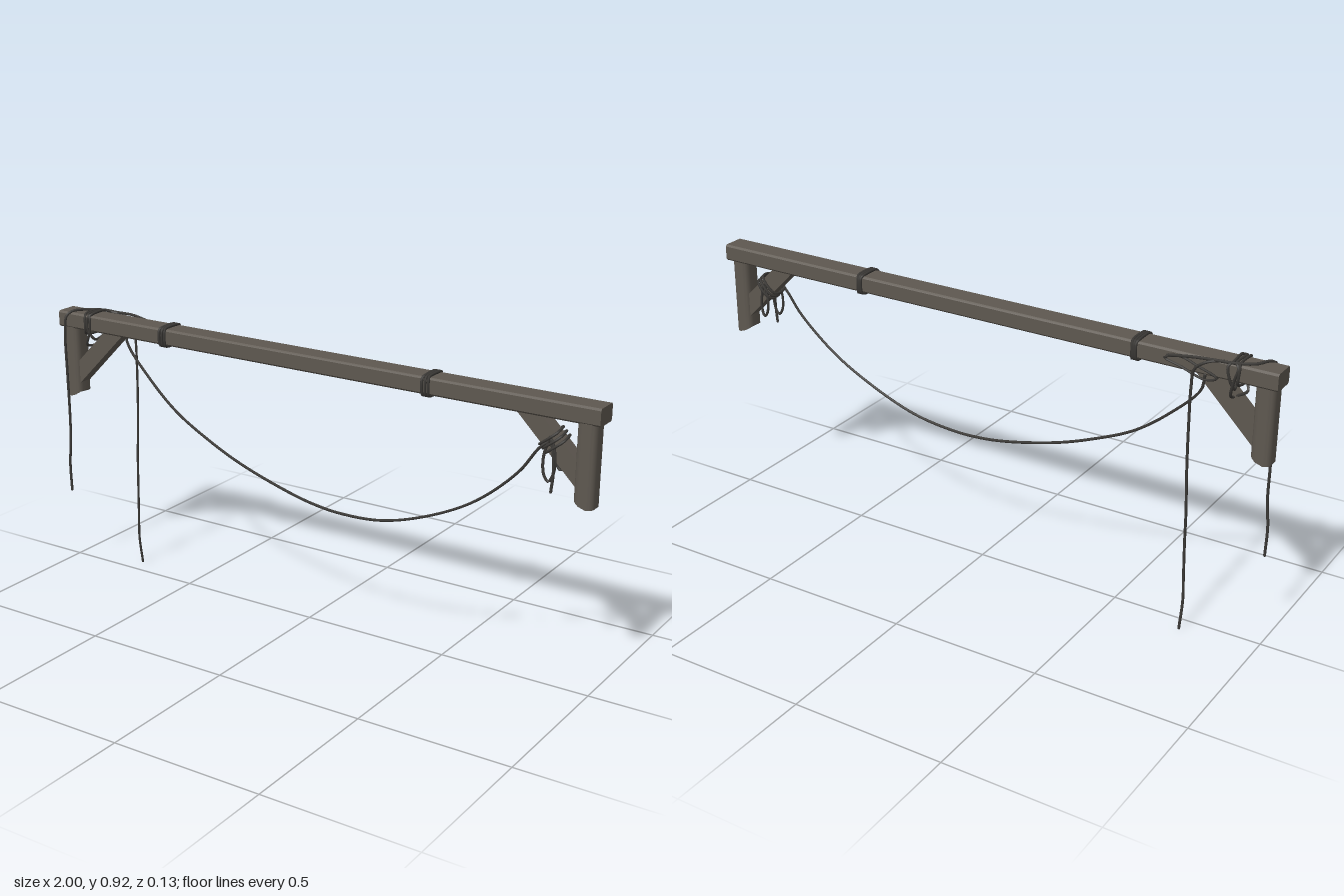
import * as THREE from 'three';
import { toCreasedNormals } from 'three/addons/utils/BufferGeometryUtils.js';

const wood = new THREE.MeshStandardMaterial({ color: 0x5e5850 });
wood.name = 'weathered wood';
const cord = new THREE.MeshStandardMaterial({ color: 0x3b3936 });
cord.name = 'dark rope';

// Rectangle with rounded or chamfered corners, centred on the origin
function roundedRect(w, h, r, steps) {
  const pts = [];
  for (let c = 0; c < 4; c++) {
    const cx = (c === 0 || c === 3 ? 1 : -1) * (w / 2 - r);
    const cy = (c < 2 ? 1 : -1) * (h / 2 - r);
    for (let i = 0; i <= steps; i++) {
      const a = (c + i / steps) * Math.PI / 2;
      pts.push(new THREE.Vector2(cx + r * Math.cos(a), cy + r * Math.sin(a)));
    }
  }
  return new THREE.Shape(pts);
}

export function createModel() {
  const model = new THREE.Group();
  model.name = 'ropedBeam';

  const add = (name, geometry, material) => {
    const mesh = new THREE.Mesh(geometry, material);
    mesh.name = name;
    model.add(mesh);
    return mesh;
  };

  // A rope strand through the given points
  const rope = (name, points, closed = false, r = 0.0045) => {
    const curve = new THREE.CatmullRomCurve3(points.map(p => new THREE.Vector3(...p)), closed, 'centripetal');
    const mesh = add(name, new THREE.TubeGeometry(curve, points.length * 6, r, 6, closed), cord);
    if (closed) return;
    // Cut ends
    [0, 1].forEach(t => {
      const end = new THREE.Mesh(new THREE.SphereGeometry(r, 6, 4), cord);
      end.name = 'ropeEnd';
      end.position.copy(curve.getPoint(t));
      mesh.add(end);
    });
  };

  // Main beam with chamfered long edges
  const beam = new THREE.ExtrudeGeometry(roundedRect(0.08, 0.055, 0.006, 1), { depth: 2, bevelEnabled: false });
  beam.translate(0, 0, -1).rotateY(Math.PI / 2).translate(0, 0.8825, 0.001);
  add('beam', beam, wood);

  for (const side of [-1, 1]) {
    const label = side > 0 ? 'left' : 'right';

    // Post with rounded corners and a trimmed inner bottom corner
    const bottom = side > 0 ? 0.6 : 0.61;
    const post = new THREE.ExtrudeGeometry(roundedRect(0.062, 0.068, 0.02, 5),
      { depth: 0.858 - bottom, bevelEnabled: false, curveSegments: 5 });
    post.rotateX(-Math.PI / 2);
    const pos = post.attributes.position;
    for (let i = 0; i < pos.count; i++) {
      const inward = -side * pos.getX(i);
      if (pos.getY(i) < 0.001 && inward > 0) pos.setY(i, inward * 0.7);
    }
    post.translate(side * 0.957, bottom, 0.005);
    post.computeVertexNormals();
    add(label + 'Post', toCreasedNormals(post, 0.6), wood);

    // Diagonal brace, cut flush against the post and the beam
    const s = new THREE.Shape([[0.935, 0.655], [0.935, 0.735], [0.81, 0.86], [0.73, 0.86]]
      .map(([x, y]) => new THREE.Vector2(side * x, y)));
    const brace = new THREE.ExtrudeGeometry(s, { depth: 0.048, bevelEnabled: false });
    brace.translate(0, 0, -0.019);
    add(label + 'Brace', brace, wood);
  }

  // Rope bands around the beam, three turns each
  for (const x of [-0.55, 0.44]) {
    for (let i = -1; i <= 1; i++) {
      const u = x + i * 0.0085, k = i * 0.002;
      rope('beamBand', [
        [u, 0.912, 0.036], [u + k, 0.907, 0.044], [u + k, 0.858, 0.044], [u, 0.852, 0.036],
        [u, 0.852, -0.034], [u - k, 0.858, -0.042], [u - k, 0.907, -0.042], [u, 0.912, -0.034],
      ], true, 0.0047);
    }
  }

  // Long sagging rope
  rope('saggingRope', [
    [-0.78, 0.86, -0.045], [-0.77, 0.81, -0.041], [-0.67, 0.705, -0.03], [-0.55, 0.612, -0.018],
    [-0.41, 0.542, -0.006], [-0.27, 0.487, 0.004], [-0.08, 0.435, 0.016], [0.03, 0.416, 0.025],
    [0.14, 0.41, 0.034], [0.3, 0.425, 0.045], [0.48, 0.485, 0.053], [0.63, 0.565, 0.054],
    [0.76, 0.68, 0.048], [0.82, 0.765, 0.042], [0.85, 0.79, 0.035],
  ]);

  // Rope crossing the top of the beam and falling at the front
  rope('frontHangingRope', [
    [-0.66, 0.895, -0.046], [-0.75, 0.91, -0.05], [-0.81, 0.912, -0.044], [-0.87, 0.914, -0.038],
    [-0.92, 0.914, -0.01], [-0.945, 0.914, 0.03], [-0.956, 0.9, 0.052], [-0.96, 0.85, 0.059],
    [-0.96, 0.7, 0.059], [-0.961, 0.56, 0.056], [-0.96, 0.45, 0.06], [-0.968, 0.37, 0.06], [-0.966, 0.27, 0.06],
  ]);

  // Rope falling behind the beam
  rope('backHangingRope', [
    [-0.83, 0.912, -0.035], [-0.79, 0.905, -0.05], [-0.75, 0.875, -0.054], [-0.742, 0.82, -0.051],
    [-0.742, 0.7, -0.052], [-0.744, 0.55, -0.05], [-0.748, 0.4, -0.045], [-0.748, 0.3, -0.042],
    [-0.753, 0.18, -0.045], [-0.757, 0.1, -0.048], [-0.754, 0.003, -0.058],
  ]);
  rope('backRopeLoop', [
    [-0.65, 0.885, -0.046], [-0.7, 0.9, -0.047], [-0.76, 0.885, -0.052],
    [-0.82, 0.86, -0.05], [-0.78, 0.845, -0.045], [-0.7, 0.87, -0.046],
  ], true, 0.004);

  // Loose turns knotted over the beam near the right post
  for (const [x, low, lean] of [[-0.882, 0.845, 0.004], [-0.87, 0.805, 0.012], [-0.858, 0.83, -0.008]]) {
    rope('looseTurn', [
      [x, 0.914, 0.038], [x + lean, 0.905, 0.047], [x + lean, 0.86, 0.048], [x - lean, low, 0.035],
      [x, low - 0.004, 0], [x + lean, low, -0.03], [x, 0.86, -0.046], [x - lean, 0.905, -0.047], [x, 0.914, -0.036],
    ], true);
  }

  // Turns tied around the left brace
  for (let i = 0; i < 3; i++) {
    const d = i * 0.011;
    rope('braceTurn', [
      [0.865 + d, 0.812 - d, 0.032], [0.86 + d, 0.817 - d, -0.022],
      [0.812 + d, 0.77 - d, -0.024], [0.815 + d, 0.772 - d, 0.034],
    ], true);
  }

  // Slack loops dangling from the brace
  rope('danglingLoop', [
    [0.85, 0.795, 0.036], [0.832, 0.74, 0.04], [0.836, 0.685, 0.042],
    [0.85, 0.665, 0.04], [0.864, 0.69, 0.038], [0.866, 0.75, 0.037],
  ], true);
  rope('danglingLoop', [
    [0.855, 0.79, -0.024], [0.838, 0.74, -0.028], [0.845, 0.69, -0.03],
    [0.858, 0.68, -0.028], [0.869, 0.72, -0.026],
  ], true);
  rope('danglingEnd', [
    [0.848, 0.8, 0.036], [0.86, 0.76, 0.04], [0.866, 0.7, 0.042], [0.861, 0.635, 0.042],
  ]);

  return model;
}
